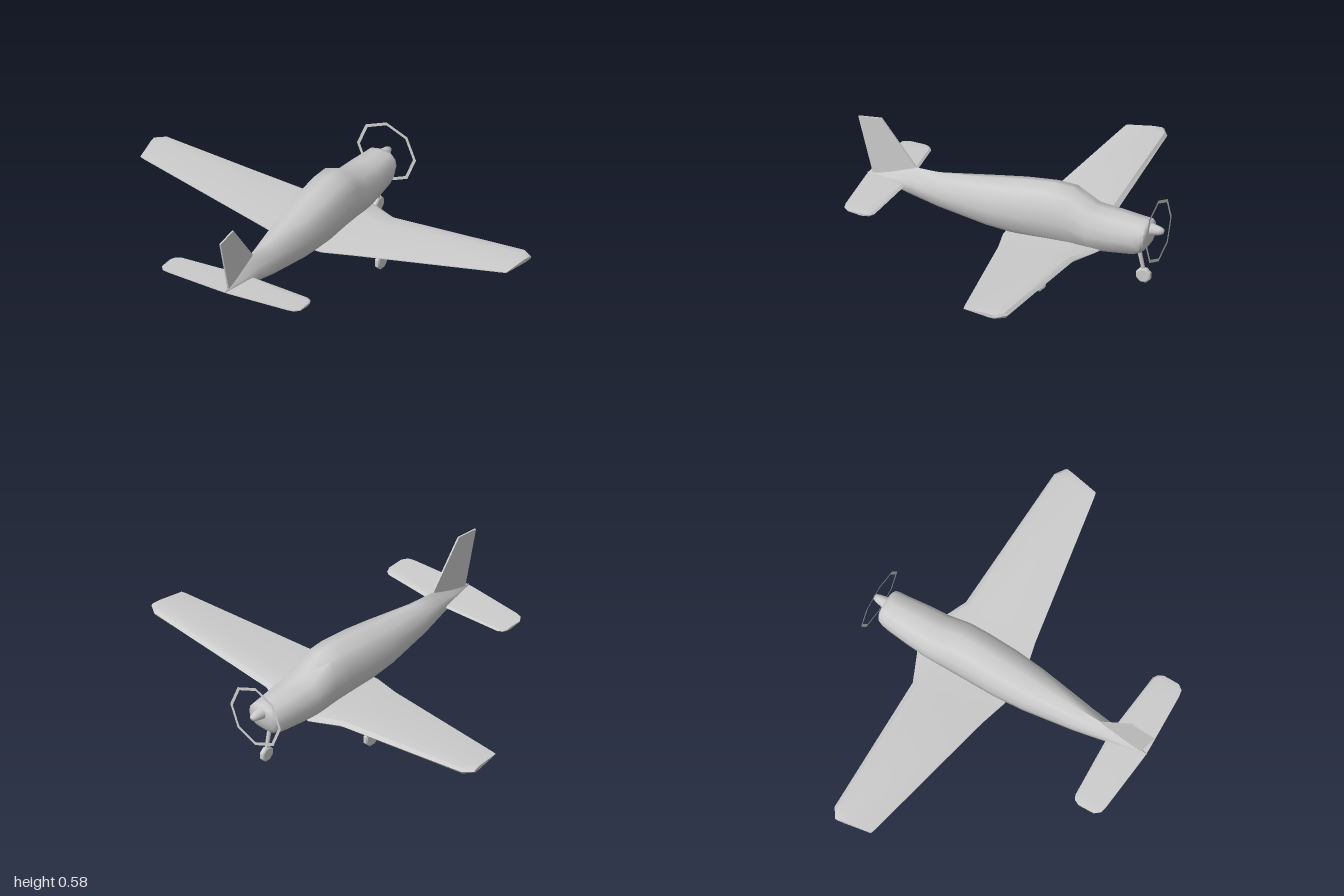
import * as THREE from 'three';
import { toCreasedNormals } from 'three/addons/utils/BufferGeometryUtils.js';

const material = new THREE.MeshStandardMaterial({ color: 0xcccccc });
const thinMaterial = new THREE.MeshStandardMaterial({ color: 0xcccccc, side: THREE.DoubleSide });

// Skin a row of closed rings (each an array of [x, y, z]) and cap both ends.
function loft(rings, crease) {
  const n = rings[0].length, last = rings.length - 1;
  const points = rings.flat(), index = [];
  for (let i = 0; i < last; i++) {
    for (let j = 0; j < n; j++) {
      const k = (j + 1) % n;
      const a = i * n + j, b = i * n + k, c = a + n, d = b + n;
      index.push(a, b, d, a, d, c);
    }
  }
  for (const [r, flip] of [[0, true], [last, false]]) {
    const centre = [0, 1, 2].map(c => rings[r].reduce((s, p) => s + p[c], 0) / n);
    const m = points.push(centre) - 1;
    for (let j = 0; j < n; j++) {
      const a = r * n + j, b = r * n + (j + 1) % n;
      index.push(m, flip ? b : a, flip ? a : b);
    }
  }
  const geo = new THREE.BufferGeometry();
  geo.setAttribute('position', new THREE.Float32BufferAttribute(points.flat(), 3));
  geo.setIndex(index);
  return toCreasedNormals(geo, crease);
}

// Body ring between bottom and top; ridge 0..1 sharpens the roof.
function bodyRing([z, bottom, top, width, ridge]) {
  const half = [
    [0.55, 0.03], [0.9, 0.18], [1, 0.45],
    [0.93 - 0.2 * ridge, 0.7 - 0.1 * ridge], [0.64 - 0.32 * ridge, 0.92 - 0.1 * ridge],
  ];
  const place = ([x, y]) => [x * width, bottom + y * (top - bottom), z];
  return [
    [0, 0], ...half, [0, 1],
    ...half.slice().reverse().map(([x, y]) => [-x, y]),
  ].map(place);
}

// Airfoil ring: leading and trailing [x, z], bottom and top heights, trailing height.
function foilRing([lx, lz, tx, tz, bottom, top, trail]) {
  const mid = (bottom + top) / 2, c = tz - lz;
  const at = (t, y) => [lx + (tx - lx) * t, y, lz + c * t];
  return [
    at(0, mid), at(0.06, top - (top - bottom) * 0.15), at(0.28, top),
    at(1, trail + 0.002), at(1, trail - 0.002), at(0.25, bottom),
    at(0.05, bottom + (top - bottom) * 0.12),
  ];
}

// Full-span surface from the stations of one side.
function span(stations) {
  const mirrored = stations.map(([lx, lz, tx, ...rest]) => [-lx, lz, -tx, ...rest]).reverse();
  return loft([...mirrored, ...stations].map(foilRing), 0.5);
}

// Round rod between two points.
function rod(from, to, r0, r1) {
  const a = new THREE.Vector3(...from), b = new THREE.Vector3(...to);
  const dir = b.clone().sub(a);
  const mesh = new THREE.Mesh(new THREE.CylinderGeometry(r1, r0, dir.length(), 8), material);
  mesh.position.copy(a).add(b).multiplyScalar(0.5);
  mesh.quaternion.setFromUnitVectors(new THREE.Vector3(0, 1, 0), dir.normalize());
  mesh.name = 'strut';
  return mesh;
}

// Strut with an eight-sided wheel.
function landingGear(name, top, hub, radius, strut) {
  const gear = new THREE.Group();
  gear.name = name;
  const w = 0.013, r = radius / Math.cos(Math.PI / 8);
  const profile = [[0, -w], [r * 0.8, -w], [r, -w * 0.6], [r, w * 0.6], [r * 0.8, w], [0, w]];
  const geo = new THREE.LatheGeometry(profile.map(p => new THREE.Vector2(...p)), 8);
  geo.rotateY(Math.PI / 8).rotateZ(Math.PI / 2);
  const wheel = new THREE.Mesh(toCreasedNormals(geo, 0.5), material);
  wheel.name = 'wheel';
  wheel.position.set(...hub);
  gear.add(wheel, rod(top, [hub[0], hub[1] + radius * 0.6, hub[2]], strut, strut * 0.85));
  return gear;
}

export function createModel() {
  const plane = new THREE.Group();
  plane.name = 'airplane';
  const add = (name, geo, mat = material) => {
    const mesh = new THREE.Mesh(geo, mat);
    mesh.name = name;
    plane.add(mesh);
    return mesh;
  };

  // Fuselage from nose to tail: z, bottom, top, half width, ridge
  add('fuselage', loft([
    [-0.69, 0.235, 0.305, 0.06, 0],
    [-0.68, 0.195, 0.315, 0.08, 0],
    [-0.66, 0.17, 0.318, 0.086, 0],
    [-0.62, 0.153, 0.323, 0.09, 0],
    [-0.52, 0.145, 0.335, 0.1, 0],
    [-0.41, 0.137, 0.347, 0.107, 0],
    [-0.3, 0.14, 0.414, 0.111, 0],
    [-0.2, 0.145, 0.42, 0.112, 0],
    [-0.05, 0.148, 0.406, 0.111, 0],
    [0.1, 0.16, 0.385, 0.1, 0],
    [0.35, 0.2, 0.36, 0.068, 0.3],
    [0.48, 0.228, 0.362, 0.047, 0.8],
    [0.6, 0.257, 0.32, 0.024, 1],
    [0.71, 0.284, 0.292, 0.003, 1],
  ].map(bodyRing), 0.9));

  // Wing with dihedral, root fairing and clipped tips
  add('wing', span([
    [0.09, -0.465, 0.09, 0.005, 0.14, 0.182, 0.155],
    [0.23, -0.402, 0.23, -0.03, 0.147, 0.19, 0.165],
    [0.95, -0.375, 0.95, -0.16, 0.213, 0.252, 0.234],
    [1.0, -0.34, 0.972, -0.166, 0.228, 0.246, 0.236],
  ]));

  // Tailplane
  add('tailplane', span([
    [0.02, 0.512, 0.02, 0.708, 0.262, 0.284, 0.286],
    [0.335, 0.535, 0.315, 0.688, 0.262, 0.284, 0.284],
    [0.357, 0.548, 0.348, 0.681, 0.264, 0.282, 0.283],
    [0.368, 0.57, 0.368, 0.655, 0.268, 0.28, 0.28],
  ]));

  // Fin, drawn as z, y and turned into the centre plane
  const finShape = new THREE.Shape(
    [[0.47, 0.365], [0.53, 0.3], [0.683, 0.295], [0.755, 0.571], [0.64, 0.582]]
      .map(([z, y]) => new THREE.Vector2(-z, y)));
  const finGeo = new THREE.ExtrudeGeometry(finShape, { depth: 0.008, bevelEnabled: false });
  add('fin', finGeo.translate(0, 0, -0.004).rotateY(Math.PI / 2));

  // Spinner
  const spinnerProfile = [[0, -0.02], [0.032, -0.02], [0.03, 0], [0.02, 0.045], [0.013, 0.061], [0, 0.065]];
  const spinner = new THREE.LatheGeometry(spinnerProfile.map(p => new THREE.Vector2(...p)), 12);
  add('spinner', spinner.rotateX(-Math.PI / 2)).position.set(0, 0.277, -0.688);

  // Flat propeller ring
  add('propellerRing', new THREE.RingGeometry(0.141, 0.157, 8), thinMaterial)
    .position.set(0, 0.275, -0.725);

  // Landing gear
  for (const [side, name] of [[1, 'leftGear'], [-1, 'rightGear']]) {
    plane.add(landingGear(name, [side * 0.222, 0.16, -0.235], [side * 0.265, 0.043, -0.235], 0.042, 0.015));
  }
  plane.add(landingGear('noseGear', [0, 0.175, -0.627], [0, 0.036, -0.652], 0.035, 0.011));

  return plane;
}
